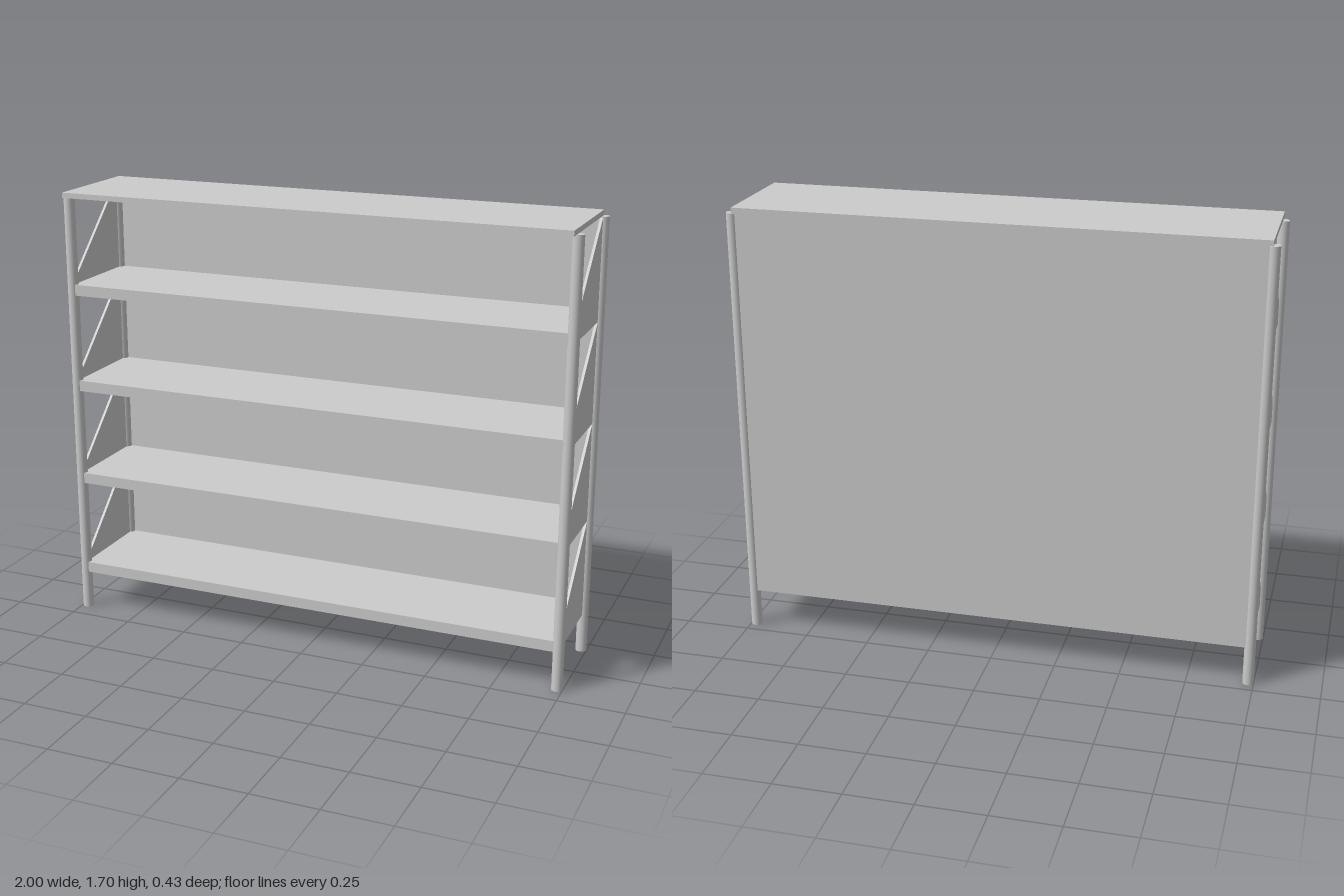
import * as THREE from 'three';

const grey = new THREE.MeshStandardMaterial({ color: 0xcccccc });

const SHELVES = 4, BASE = 0.153, SPACING = 0.381, SHELF_T = 0.042;
const TOP = BASE + SHELVES * SPACING; // underside of the top board
const FRONT = 0.178, BACK = -0.2;

export function createModel() {
  const root = new THREE.Group();
  root.name = 'shelvingUnit';

  const add = (name, geometry, x, y, z) => {
    const mesh = new THREE.Mesh(geometry, grey);
    mesh.name = name;
    mesh.position.set(x, y, z);
    root.add(mesh);
    return mesh;
  };
  // Box given by width and its y and z limits
  const board = (name, w, y0, y1, z0, z1) =>
    add(name, new THREE.BoxGeometry(w, y1 - y0, z1 - z0), 0, (y0 + y1) / 2, (z0 + z1) / 2);

  // Four round posts
  const post = new THREE.CylinderGeometry(0.021, 0.021, TOP, 24);
  for (const [side, x] of [['left', 0.979], ['right', -0.979]]) {
    add(side + 'FrontPost', post, x, TOP / 2, 0.164);
    add(side + 'BackPost', post, x, TOP / 2, -0.196);
  }

  // Top board and full-height back panel
  board('topBoard', 1.952, TOP, TOP + 0.02, BACK, 0.217);
  board('backPanel', 1.952, BASE, TOP + 0.02, -0.21, BACK);

  // Sloped side panel: low at the front, rising to the next shelf at the back
  const profile = new THREE.Shape([
    [-FRONT, 0], [-BACK, 0], [-BACK, SPACING - 0.001], [0.178, SPACING - 0.001], [-FRONT, SHELF_T],
  ].map(([x, y]) => new THREE.Vector2(x, y)));
  const sidePanel = new THREE.ExtrudeGeometry(profile, { depth: 0.01, bevelEnabled: false });
  sidePanel.rotateY(Math.PI / 2).translate(-0.005, 0, 0);

  // Shelves with a side panel at each end
  for (let i = 0; i < SHELVES; i++) {
    const y = BASE + i * SPACING;
    board('shelf' + (i + 1), 1.942, y, y + SHELF_T, BACK, FRONT);
    add('leftSidePanel' + (i + 1), sidePanel, 0.976, y, 0);
    add('rightSidePanel' + (i + 1), sidePanel, -0.976, y, 0);
  }
  return root;
}
